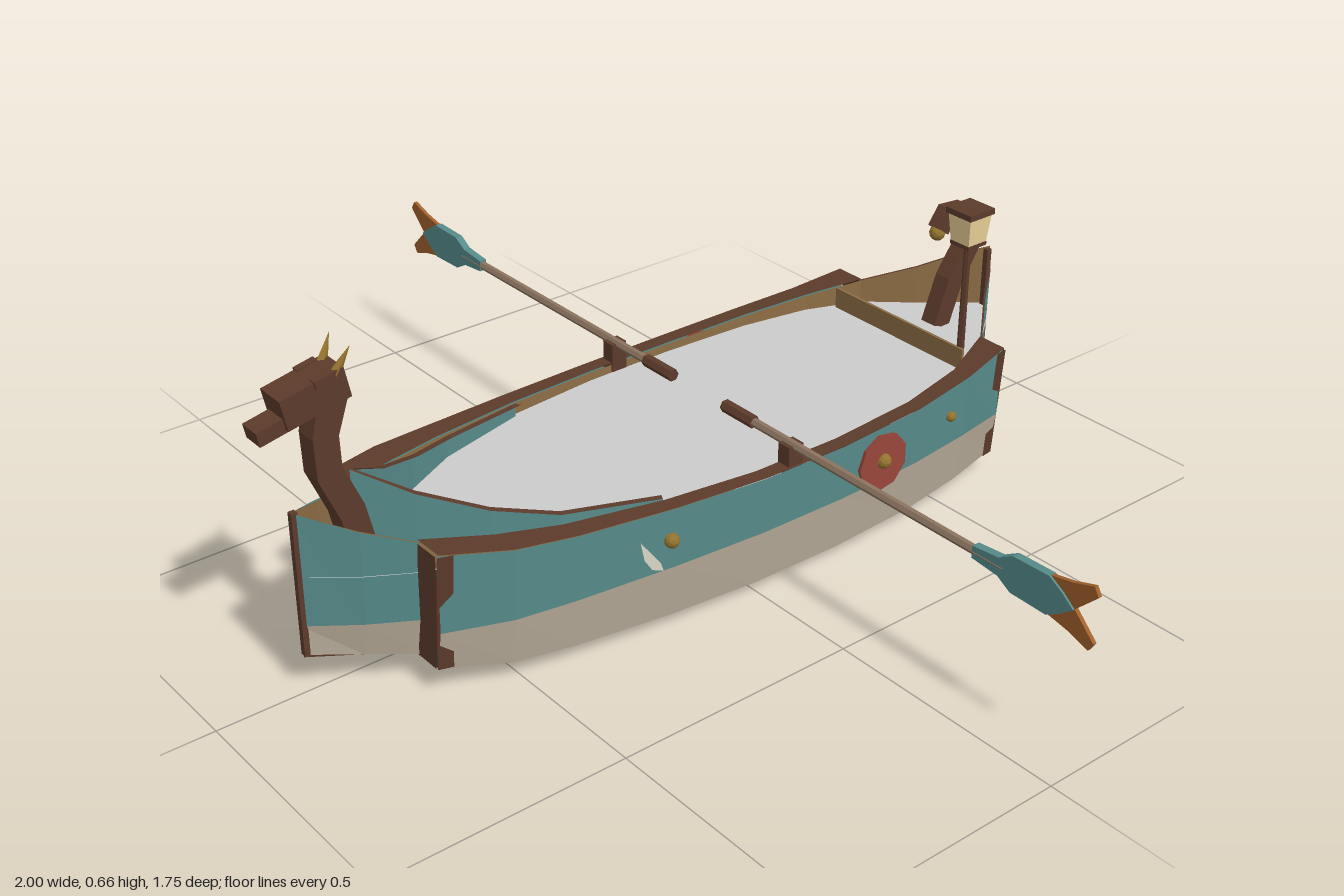
import * as THREE from 'three';

const mat = (color) => new THREE.MeshStandardMaterial({ color, flatShading: true, side: THREE.DoubleSide });
const M = {
  teal: mat(0x578b8b), cream: mat(0xb8ac9a), brown: mat(0x5c3b2b), dark: mat(0x28302f), redBottom: mat(0x4a211c),
  tan: mat(0x8f6f46), red: mat(0x98463a), gold: mat(0x94732f), orange: mat(0xa0612c), wood: mat(0x8c7460),
  lamp: mat(0xecd29a), white: mat(0xd8d4c6), deck: mat(0xcccccc),
};

// Hull stations: z, outer half width, inner half width, rim y, chine y, keel y
const STATIONS = [
  [0.82, 0, 0, 0.37, 0.08, 0.075], [0.73, 0.07, 0.07, 0.33, 0.07, 0.06],
  [0.645, 0.175, 0.12, 0.30, 0.06, 0.045], [0.52, 0.222, 0.17, 0.285, 0.042, 0.026],
  [0.4, 0.242, 0.205, 0.275, 0.035, 0.018], [0.2, 0.265, 0.24, 0.265, 0.028, 0.009],
  [0, 0.28, 0.258, 0.258, 0.025, 0.003], [-0.2, 0.283, 0.26, 0.257, 0.025, 0.002],
  [-0.4, 0.275, 0.25, 0.262, 0.028, 0.006], [-0.55, 0.257, 0.225, 0.272, 0.034, 0.014],
  [-0.67, 0.237, 0.18, 0.29, 0.045, 0.026], [-0.76, 0.10, 0.10, 0.325, 0.062, 0.05],
  [-0.82, 0.055, 0.055, 0.35, 0.072, 0.066], [-0.875, 0, 0, 0.375, 0.08, 0.078],
];
const FIRST = 2, LAST = 10, BAND = 0.14, DECK = 0.24;
const SIDE = STATIONS.slice(FIRST, LAST + 1);

function add(parent, name, geometry, material, x = 0, y = 0, z = 0) {
  const mesh = new THREE.Mesh(geometry, material);
  mesh.name = name;
  mesh.position.set(x, y, z);
  parent.add(mesh);
  return mesh;
}

// Flat-faceted strip between two rows of points
function ribbon(parent, name, a, b, material) {
  const p = [];
  for (let i = 0; i < a.length - 1; i++) p.push(...a[i], ...b[i], ...b[i + 1], ...a[i], ...b[i + 1], ...a[i + 1]);
  const g = new THREE.BufferGeometry();
  g.setAttribute('position', new THREE.Float32BufferAttribute(p, 3));
  g.computeVertexNormals();
  return add(parent, name, g, material);
}

function shapeGeo(points, depth) {
  const s = new THREE.Shape(points.map(([x, y]) => new THREE.Vector2(x, y)));
  return new THREE.ExtrudeGeometry(s, { depth, bevelEnabled: false }).translate(0, 0, -depth / 2);
}

// Jointed square-section limb swept through points in the centre plane: [z, y, thickness]
function limb(parent, name, pts, halfWidth, material) {
  const rings = pts.map(([z, y, t], i) => {
    const p = pts[Math.max(i - 1, 0)], n = pts[Math.min(i + 1, pts.length - 1)];
    const l = Math.hypot(n[0] - p[0], n[1] - p[1]);
    const nz = -(n[1] - p[1]) / l * t / 2, ny = (n[0] - p[0]) / l * t / 2;
    return [[halfWidth, y + ny, z + nz], [-halfWidth, y + ny, z + nz], [-halfWidth, y - ny, z - nz], [halfWidth, y - ny, z - nz]];
  });
  for (let k = 0; k < 4; k++) ribbon(parent, name, rings.map((r) => r[(k + 1) % 4]), rings.map((r) => r[k]), material);
}

const outerX = (z) => {
  const i = STATIONS.findIndex((s) => s[0] <= z), a = STATIONS[i - 1], b = STATIONS[i];
  return THREE.MathUtils.lerp(a[1], b[1], (z - a[0]) / (b[0] - a[0]));
};

function buildSide(g, s) {
  const low = (w) => Math.max(w - 0.018, 0);
  const mid = (w) => Math.max(w - 0.004, 0);

  // Outer planking amidships, inner planking at the pointed ends
  const plank = (rows, col, label) => {
    ribbon(g, label + 'UpperPlanks', rows.map((r) => [s * r[col], r[3], r[0]]), rows.map((r) => [s * mid(r[col]), BAND, r[0]]), M.teal);
    ribbon(g, label + 'LowerPlanks', rows.map((r) => [s * mid(r[col]), BAND, r[0]]), rows.map((r) => [s * low(r[col]), r[4], r[0]]), M.cream);
  };
  plank(SIDE, 1, 'side');
  plank(STATIONS.slice(0, FIRST + 1), 2, 'bow');
  plank(STATIONS.slice(LAST), 2, 'stern');

  // Inner lining and gunwale
  const lining = (r) => Math.max(r[2] - 0.005, 0);
  ribbon(g, 'innerLining', STATIONS.map((r) => [s * lining(r), r[3], r[0]]), STATIONS.map((r) => [s * lining(r), DECK, r[0]]), M.tan);
  const lip = (r) => r[3] + 0.004;
  ribbon(g, 'gunwale', SIDE.map((r) => [s * (r[1] + 0.004), lip(r), r[0]]), SIDE.map((r) => [s * (r[2] - 0.006), lip(r), r[0]]), M.brown);
  ribbon(g, 'endRim', STATIONS.slice(LAST).map((r) => [s * r[2], r[3], r[0]]),
    STATIONS.slice(LAST).map((r) => [s * lining(r), r[3], r[0]]), M.brown);

  // Brown end boards closing the outer planking
  for (const [i, dz] of [[FIRST, 0.004], [LAST, -0.004]]) {
    const r = STATIONS[i], z = r[0] + dz;
    ribbon(g, 'endBoard', [[s * r[1], r[3], z], [s * low(r[1]), r[4], z]], [[s * r[2], r[3], z], [s * low(r[2]), r[4], z]], M.brown);
    ribbon(g, 'endBoardEdge', [[s * (r[1] + 0.004), r[3], z], [s * (low(r[1]) + 0.004), r[4], z]],
      [[s * (outerX(z - dz * 7) + 0.004), r[3], z - dz * 7], [s * (low(outerX(z - dz * 7)) + 0.004), r[4], z - dz * 7]], M.brown);
  }

  // Bottom: dark bilge, red centre panel, brown ends
  const bottom = (name, rows, col, from, to, material) => {
    const at = (r, t) => [s * low(r[col]) * t, THREE.MathUtils.lerp(r[5], r[4], t), r[0]];
    ribbon(g, name, rows.map((r) => at(r, from)), rows.map((r) => at(r, to)), material);
  };
  bottom('bilge', SIDE, 1, 0.55, 1, M.dark);
  bottom('bottomPanel', SIDE, 1, 0, 0.55, M.redBottom);
  bottom('bowBottom', STATIONS.slice(0, FIRST + 1), 2, 0, 1, M.brown);
  bottom('sternBottom', STATIONS.slice(LAST), 2, 0, 1, M.brown);

  // Raised splash board sweeping back from the neck
  const splash = [[0, 0.41, 0.70], [0.06, 0.355, 0.61], [0.125, 0.31, 0.5], [0.18, 0.285, 0.39], [0.228, 0.268, 0.2]];
  ribbon(g, 'splashBoard', splash.map((p) => [s * p[0], p[1], p[2]]), splash.map((p) => [s * p[0], DECK, p[2]]), M.teal);
  ribbon(g, 'splashRail', splash.map((p) => [s * p[0], p[1], p[2]]), splash.map((p) => [s * Math.max(p[0] - 0.012, 0), p[1], p[2] - 0.006]), M.brown);

  // Shield, studs and crescent on the flank
  const shield = new THREE.CylinderGeometry(0.058, 0.062, 0.014, 9).rotateZ(Math.PI / 2);
  add(g, 'shield', shield, M.red, s * (outerX(-0.3) + 0.002), 0.188, -0.295);
  for (const [z, y, r] of [[-0.295, 0.192, 0.016], [0.21, 0.203, 0.015], [-0.5, 0.207, 0.011]])
    add(g, 'stud', new THREE.IcosahedronGeometry(r, 1), M.gold, s * (outerX(z) + (z === -0.295 ? 0.008 : 0.002)), y, z);
  const arc = [[0.276, 0.22, 0], [0.268, 0.18, 0.016], [0.252, 0.155, 0.018], [0.228, 0.145, 0]];
  const onHull = (z, y) => [s * (outerX(z) + 0.003), y, z];
  ribbon(g, 'crescent', arc.map((p) => onHull(p[0], p[1])), arc.map((p) => onHull(p[0] - p[2], p[1] + p[2] / 2)), M.white);
}

// Oar pointing along +x with a fish-tail blade
function buildOar() {
  const oar = new THREE.Group();
  oar.name = 'oar';
  const rod = (r, len) => new THREE.CylinderGeometry(r, r, len, 6).rotateZ(Math.PI / 2);
  add(oar, 'shaft', rod(0.009, 0.66), M.wood, 0.47);
  add(oar, 'grip', rod(0.013, 0.085), M.brown, 0.12);
  const mirror = (half) => [...half, ...half.slice().reverse().filter((p) => p[1] > 0).map(([x, y]) => [x, -y])];
  add(oar, 'blade', shapeGeo(mirror([[0.73, 0.012], [0.79, 0.018], [0.82, 0.036], [0.9, 0.038], [0.93, 0.02], [0.955, 0]]), 0.016), M.teal);
  add(oar, 'bladeTail', shapeGeo(mirror([[0.82, 0.012], [0.9, 0.038], [0.945, 0.047], [0.99, 0.062], [1, 0.045], [0.975, 0.02], [0.955, 0]]), 0.008), M.orange);
  add(oar, 'oarlock', new THREE.BoxGeometry(0.03, 0.06, 0.035), M.brown, 0.265, -0.028);
  return oar;
}

export function createModel() {
  const model = new THREE.Group();
  model.name = 'longboat';

  const hull = new THREE.Group();
  hull.name = 'hull';
  model.add(hull);
  for (const s of [1, -1]) buildSide(hull, s);
  ribbon(hull, 'deck', STATIONS.map((r) => [r[2], DECK, r[0]]), STATIONS.map((r) => [-r[2], DECK, r[0]]), M.deck);
  add(hull, 'sternBulkhead', new THREE.BoxGeometry(0.37, 0.045, 0.006), M.tan, 0, 0.265, -0.61);
  add(hull, 'stem', new THREE.BoxGeometry(0.012, 0.29, 0.012), M.brown, 0, 0.225, 0.815);
  add(hull, 'sternPost', new THREE.BoxGeometry(0.012, 0.29, 0.012), M.brown, 0, 0.225, -0.868);

  // Carved figurehead
  const figurehead = new THREE.Group();
  figurehead.name = 'figurehead';
  model.add(figurehead);
  limb(figurehead, 'neck', [[0.69, 0.24, 0.05], [0.712, 0.34, 0.05], [0.75, 0.43, 0.05], [0.752, 0.5, 0.05], [0.73, 0.58, 0.06]], 0.023, M.brown);
  const head = add(figurehead, 'head', new THREE.BoxGeometry(0.062, 0.06, 0.125), M.brown, 0, 0.583, 0.768);
  head.rotation.x = 0.2;
  const snout = add(figurehead, 'snout', new THREE.BoxGeometry(0.045, 0.028, 0.08), M.brown, 0, 0.547, 0.836);
  snout.rotation.x = 0.2;
  for (const s of [1, -1]) {
    const horn = add(figurehead, 'horn', new THREE.ConeGeometry(0.013, 0.065, 5), M.gold, s * 0.026, 0.633, 0.714);
    horn.rotation.set(-0.5, 0, -s * 0.2);
    add(figurehead, 'brow', new THREE.BoxGeometry(0.014, 0.016, 0.04), M.brown, s * 0.028, 0.612, 0.75).rotation.x = 0.2;
  }

  // Curled tail
  const tail = new THREE.Group();
  tail.name = 'tail';
  model.add(tail);
  limb(tail, 'tailCurl', [[-0.72, 0.24, 0.045], [-0.755, 0.335, 0.045], [-0.802, 0.405, 0.042], [-0.803, 0.445, 0.04], [-0.775, 0.485, 0.034],
    [-0.735, 0.49, 0.03], [-0.712, 0.458, 0.026]], 0.019, M.brown);
  add(tail, 'tailTip', new THREE.IcosahedronGeometry(0.017, 1), M.gold, 0, 0.452, -0.71);

  // Lantern on a pole
  const lantern = new THREE.Group();
  lantern.name = 'lantern';
  lantern.position.set(0.17, 0, -0.618);
  model.add(lantern);
  add(lantern, 'pole', new THREE.CylinderGeometry(0.007, 0.008, 0.29, 6), M.brown, 0, 0.385);
  add(lantern, 'lampGlass', new THREE.CylinderGeometry(0.042, 0.034, 0.062, 4).rotateY(Math.PI / 4), M.lamp, 0, 0.549);
  add(lantern, 'lampCap', new THREE.BoxGeometry(0.067, 0.012, 0.067), M.brown, 0, 0.585);
  add(lantern, 'lampBase', new THREE.BoxGeometry(0.05, 0.008, 0.05), M.brown, 0, 0.517);

  // Oars
  for (const turn of [0, Math.PI]) {
    const oar = buildOar();
    oar.position.set(0, 0.3, -0.073);
    oar.rotation.y = turn;
    model.add(oar);
  }
  return model;
}
